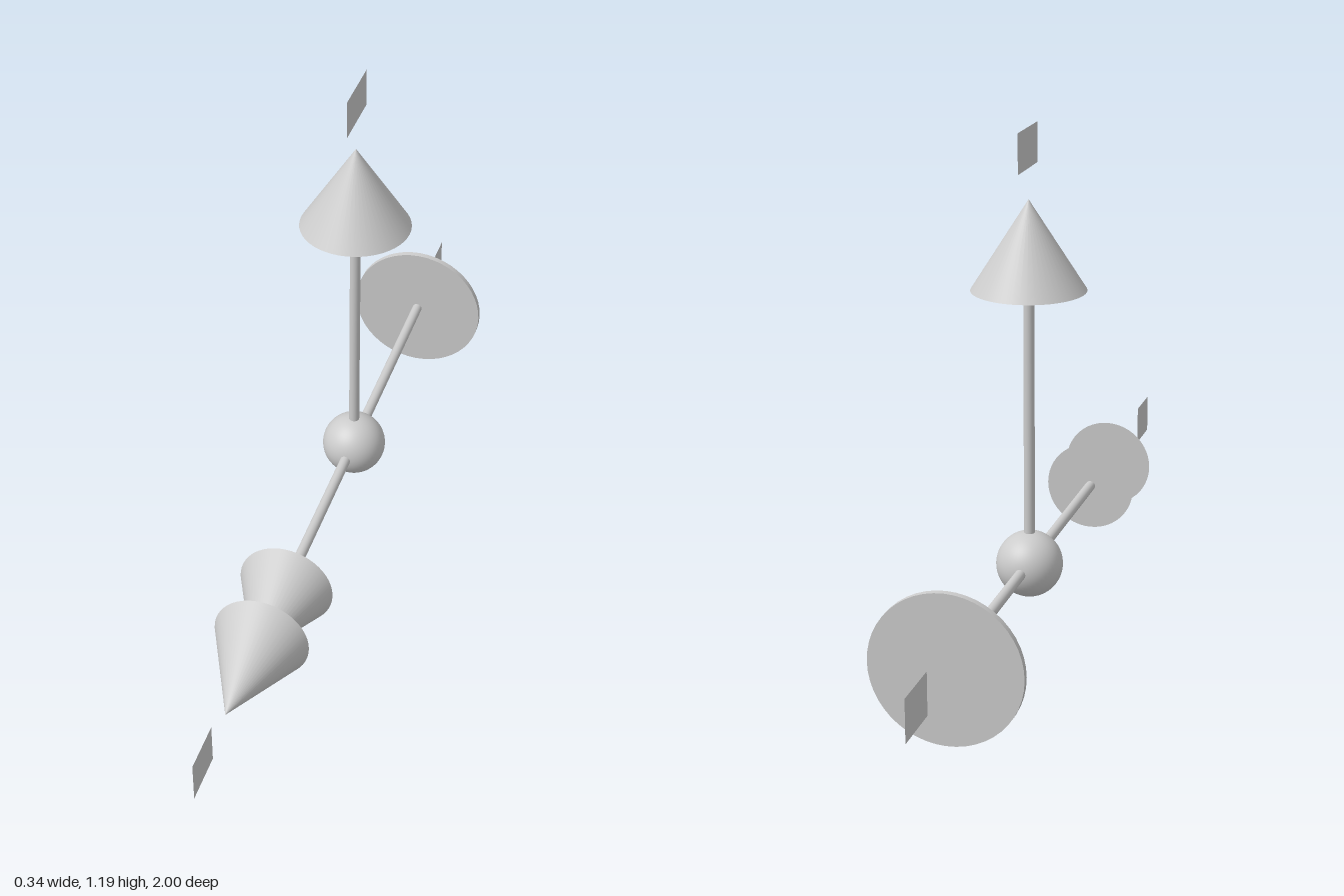
import * as THREE from 'three';

const AXIS_Y = 0.172; // height of the horizontal shaft
const HUB_Z = -0.155; // position of the hub along the shaft

export function createModel() {
  const group = new THREE.Group();
  const grey = new THREE.MeshStandardMaterial({ color: 0xcccccc });
  const thin = new THREE.MeshStandardMaterial({ color: 0xcccccc, side: THREE.DoubleSide });

  const add = (name, geometry, y, z, material = grey) => {
    const mesh = new THREE.Mesh(geometry, material);
    mesh.name = name;
    mesh.position.set(0, y, z);
    group.add(mesh);
  };
  // Round part spanning a..b along +y or along +z
  const upright = (name, r0, r1, a, b) =>
    add(name, new THREE.CylinderGeometry(r1, r0, b - a, 48), (a + b) / 2, HUB_Z);
  const lying = (name, r0, r1, a, b) =>
    add(name, new THREE.CylinderGeometry(r1, r0, b - a, 48).rotateX(Math.PI / 2), AXIS_Y, (a + b) / 2);

  // Hub where the shafts meet
  add('hub', new THREE.SphereGeometry(0.077, 48, 32), AXIS_Y, HUB_Z);

  // Upward arrow
  upright('uprightShaft', 0.0125, 0.0125, AXIS_Y, 0.83);
  upright('uprightArrowhead', 0.13, 0, 0.822, 1.027);

  // Horizontal shaft with a double arrowhead in front and a disc behind
  lying('horizontalShaft', 0.0125, 0.0125, -0.75, 0.4);
  lying('rearArrowhead', 0.111, 0, 0.383, 0.625);
  lying('frontArrowhead', 0.111, 0, 0.56, 0.802);
  lying('endDisc', 0.17, 0.17, -0.76, -0.745);

  // Blank flat tags beyond each end, lying in the side plane
  const tag = (name, y0, y1, z0, z1) =>
    add(name, new THREE.PlaneGeometry(z1 - z0, y1 - y0).rotateY(Math.PI / 2),
      (y0 + y1) / 2, (z0 + z1) / 2, thin);
  tag('topTag', 1.096, 1.187, -0.235, -0.085);
  tag('frontTag', 0.123, 0.22, 0.885, 1);
  tag('backTag', 0.123, 0.22, -1, -0.87);

  return group;
}
